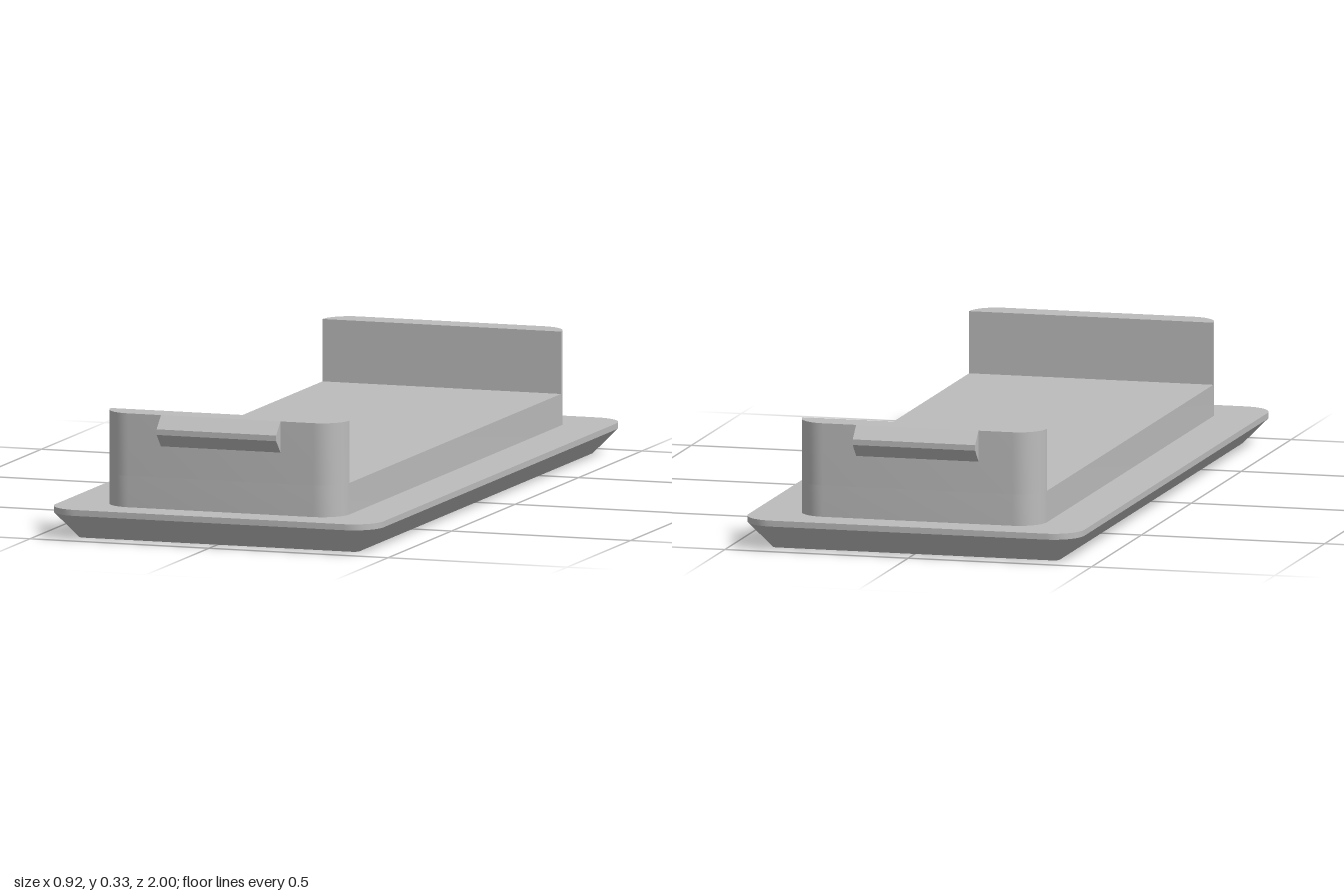
import * as THREE from 'three';
import { toCreasedNormals } from 'three/addons/utils/BufferGeometryUtils.js';

// Outline of a rounded rectangle in x/z, given half sizes and corner radius
function roundedOutline(hx, hz, r, seg = 10) {
  const pts = [];
  [[1, 1], [-1, 1], [-1, -1], [1, -1]].forEach(([sx, sz], q) => {
    for (let i = 0; i <= seg; i++) {
      const a = (q + i / seg) * Math.PI / 2;
      pts.push([sx * (hx - r) + r * Math.cos(a), sz * (hz - r) + r * Math.sin(a)]);
    }
  });
  return pts;
}

// Closed solid through stacked convex outlines, each { y, pts }, bottom to top
function loft(rings) {
  const n = rings[0].pts.length, pos = [], index = [];
  for (const { y, pts } of rings) for (const [x, z] of pts) pos.push(x, y, z);
  const centre = ({ y, pts }) => {
    const sum = pts.reduce((s, p) => [s[0] + p[0], s[1] + p[1]], [0, 0]);
    pos.push(sum[0] / n, y, sum[1] / n);
    return pos.length / 3 - 1;
  };
  const low = centre(rings[0]), high = centre(rings[rings.length - 1]);
  const last = (rings.length - 1) * n;
  for (let i = 0; i < n; i++) {
    const j = (i + 1) % n;
    for (let k = 0; k < last; k += n) {
      index.push(k + i, k + n + j, k + j, k + i, k + n + i, k + n + j);
    }
    index.push(low, i, j, high, last + j, last + i);
  }
  const g = new THREE.BufferGeometry();
  g.setAttribute('position', new THREE.Float32BufferAttribute(pos, 3));
  g.setIndex(index);
  return toCreasedNormals(g, 0.5);
}

export function createModel() {
  const group = new THREE.Group();
  const grey = new THREE.MeshStandardMaterial({ color: 0xbcbcbc });
  grey.name = 'plain grey';
  const add = (name, geometry, parent = group) => {
    const mesh = new THREE.Mesh(geometry, grey);
    mesh.name = name;
    parent.add(mesh);
  };

  // Flange with a bevelled underside
  const rim = roundedOutline(0.458, 1, 0.083);
  add('flange', loft([
    { y: 0, pts: roundedOutline(0.391, 0.933, 0.016) },
    { y: 0.067, pts: rim },
    { y: 0.083, pts: rim },
  ]));

  // Raised block on the flange
  const block = roundedOutline(0.333, 0.908, 0.075);
  add('raisedBlock', loft([{ y: 0.083, pts: block }, { y: 0.167, pts: block }]));

  // End walls follow the rounded ends of the block, each with a snap ridge
  const end = block.filter(([, z]) => z > 0.8329);
  const ridge = new THREE.Shape([[0.908, 0.25], [0.942, 0.285], [0.942, 0.3], [0.908, 0.333]]
    .map(([z, y]) => new THREE.Vector2(z, y)));
  for (const side of ['front', 'back']) {
    const clip = new THREE.Group();
    clip.name = side + 'Clip';
    add(side + 'Wall', loft([{ y: 0.167, pts: end }, { y: 0.333, pts: end }]), clip);
    const g = new THREE.ExtrudeGeometry(ridge, { depth: 0.334, bevelEnabled: false });
    g.rotateY(-Math.PI / 2).translate(0.167, 0, 0);
    add(side + 'SnapRidge', g, clip);
    if (side === 'back') clip.rotation.y = Math.PI;
    group.add(clip);
  }
  return group;
}
